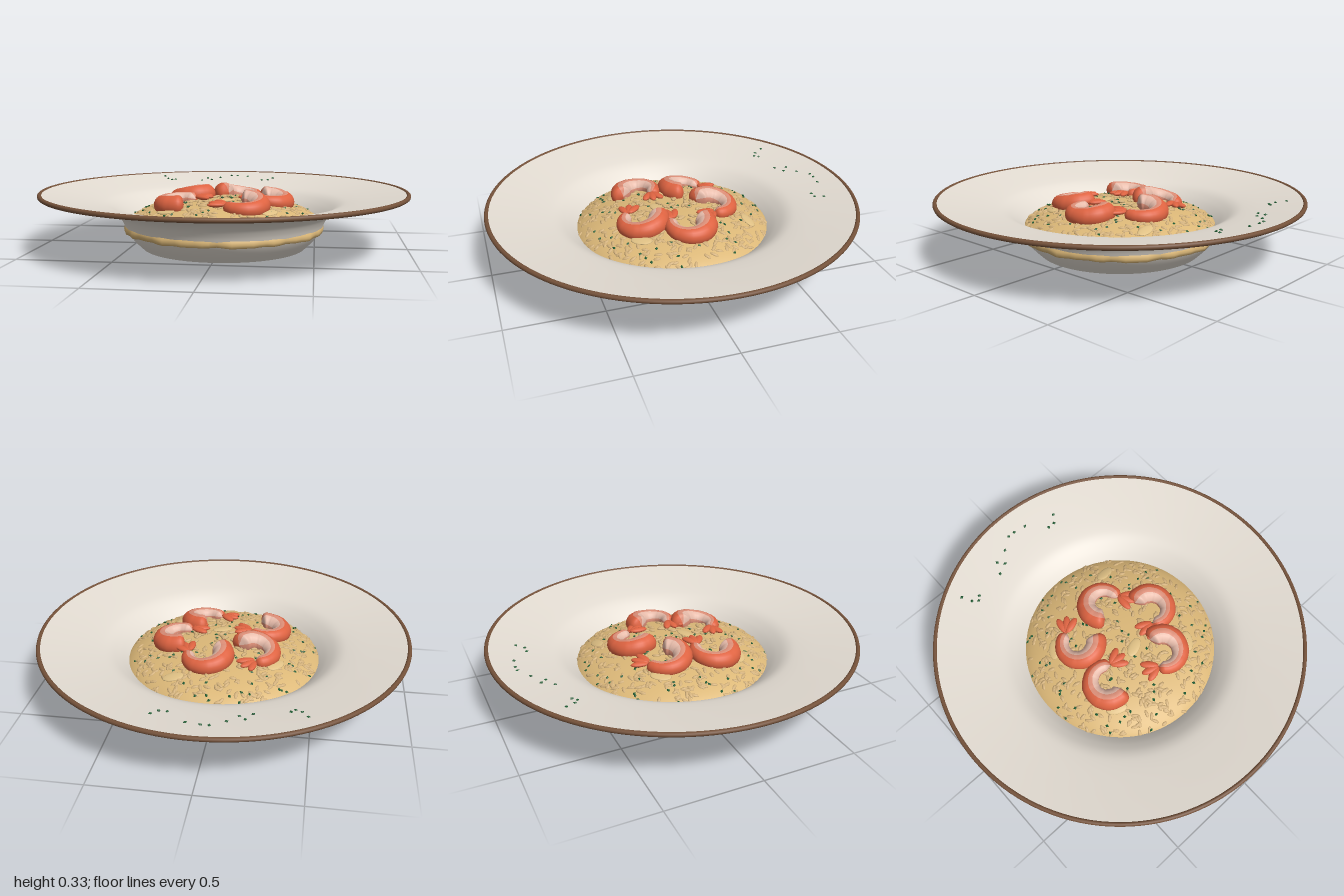
import * as THREE from 'three';
import { mergeGeometries } from 'three/addons/utils/BufferGeometryUtils.js';

const mat = (name, color, extra = {}) => {
  const m = new THREE.MeshStandardMaterial({ color, ...extra });
  m.name = name;
  return m;
};

// Small seeded random generator
let seed = 7;
const rand = () => {
  seed = (seed * 16807) % 2147483647;
  return seed / 2147483647;
};

// Height of the rice mound at a point
const MOUND_R = 0.55, MOUND_Y = 0.1, MOUND_H = 0.16;
const moundY = (x, z) =>
  MOUND_Y + MOUND_H * Math.sqrt(Math.max(0, 1 - (x * x + z * z) / (MOUND_R * MOUND_R)));
const moundNormal = (x, z) => {
  const k = MOUND_R * MOUND_R;
  return new THREE.Vector3(x / k, (moundY(x, z) - MOUND_Y) / (MOUND_H * MOUND_H), z / k).normalize();
};

// Copy of a geometry laid on the mound with a turn, a scale and a lift
function onMound(geo, x, z, yaw, scale, lift) {
  const n = moundNormal(x, z);
  const q = new THREE.Quaternion().setFromUnitVectors(new THREE.Vector3(0, 1, 0), n);
  q.multiply(new THREE.Quaternion().setFromAxisAngle(new THREE.Vector3(0, 1, 0), yaw));
  const p = new THREE.Vector3(x, moundY(x, z), z).addScaledVector(n, lift);
  return geo.clone().applyMatrix4(new THREE.Matrix4().compose(p, q, new THREE.Vector3(...scale)));
}

const lathe = (pts, segs = 96) =>
  new THREE.LatheGeometry(pts.map(([r, y]) => new THREE.Vector2(r, y)), segs);

// Smooth profile through a few points
const smooth = (pts, n) =>
  new THREE.SplineCurve(pts.map(([r, y]) => new THREE.Vector2(r, y))).getPoints(n).map(p => [Math.max(0, p.x), p.y]);

// Curled body with tapered, segmented cross-sections and coloured bands around it
const CURL = 0.093, SPAN = 250 * Math.PI / 180;
function prawnBody(cx, cz, head) {
  const n = 48, m = 24, pos = [], bands = [[], [], []];
  for (let i = 0; i <= n; i++) {
    const t = i / n, a = head + SPAN * (1 - t);
    const x = cx + CURL * Math.cos(a), z = cz + CURL * Math.sin(a);
    const base = 0.032 + 0.023 * Math.min(1, t * 1.35);
    const headEnd = t > 0.92 ? Math.sqrt(Math.max(0, 1 - ((t - 0.92) / 0.08) ** 2)) : 1;
    const tailEnd = t < 0.06 ? Math.sqrt(t / 0.06) : 1;
    const r = base * headEnd * tailEnd * (1 + 0.035 * ((t * 6) % 1));
    const y = moundY(x, z) + base * 0.4;
    for (let j = 0; j < m; j++) {
      const f = j / m * Math.PI * 2, out = r * Math.cos(f);
      pos.push(x + out * Math.cos(a), y + r * Math.sin(f), z + out * Math.sin(a));
    }
  }
  for (let j = 0; j < m; j++) {
    const deg = (j + 0.5) / m * 360;
    const band = deg < 75 || deg > 250 ? 0 : deg > 105 && deg < 165 ? 2 : 1;
    for (let i = 0; i < n; i++) {
      const a = i * m + j, d = i * m + (j + 1) % m, b = a + m, c = d + m;
      bands[band].push(a, b, d, b, c, d);
    }
  }
  const g = new THREE.BufferGeometry();
  g.setAttribute('position', new THREE.Float32BufferAttribute(pos, 3));
  g.setIndex(bands.flat());
  let start = 0;
  bands.forEach((b, k) => { g.addGroup(start, b.length, k); start += b.length; });
  g.computeVertexNormals();
  return g;
}

// Three flat petals at the thin end
function prawnTail(cx, cz, head) {
  const a = head + SPAN, x = cx + CURL * Math.cos(a), z = cz + CURL * Math.sin(a);
  const petal = new THREE.SphereGeometry(1, 12, 8);
  return mergeGeometries([-0.55, 0, 0.55].map(s => {
    const d = a + Math.PI / 4 + s;
    const px = x + 0.05 * Math.cos(d), pz = z + 0.05 * Math.sin(d);
    return petal.clone().scale(0.05, 0.013, 0.021).rotateY(-d)
      .translate(px, moundY(px, pz) + 0.026, pz);
  }));
}

export function createModel() {
  seed = 7;
  const group = new THREE.Group();
  const add = (name, geo, material, parent = group) => {
    const mesh = new THREE.Mesh(geo, material);
    mesh.name = name;
    parent.add(mesh);
    return mesh;
  };
  const china = mat('china', 0xe4ddd3);
  const brown = mat('brown rim', 0x75523a);
  const riceMat = mat('rice', 0xdcb878);
  const grainMat = mat('grain', 0xd2b07a);
  const cheese = mat('cheese', 0xdfc084);
  const coral = mat('coral', 0xde6341);
  const pink = mat('pink', 0xdd8f78);
  const pale = mat('pale flesh', 0xe6bbaa);
  const green = mat('herb green', 0x1f5c33);

  // Bowl: foot, outside and inside
  add('foot', lathe([[0, 0.012], [0.36, 0.012], [0.4, 0.006], [0.45, 0]]), china);
  add('bowlOutside', lathe(smooth([[0.45, 0], [0.5, 0.05], [0.535, 0.1], [0.556, 0.15], [0.582, 0.19],
    [0.625, 0.222], [0.69, 0.243], [0.84, 0.27], [0.988, 0.296]], 40)), china);
  add('bowlInside', lathe(smooth([[0.988, 0.313], [0.85, 0.29], [0.7, 0.263], [0.63, 0.243], [0.575, 0.207],
    [0.53, 0.165], [0.5, 0.13], [0.46, 0.095], [0.4, 0.075], [0, 0.07]], 48)), china);
  add('rim', new THREE.TorusGeometry(0.988, 0.012, 10, 128).rotateX(Math.PI / 2).translate(0, 0.305, 0), brown);

  // Rice mound with a slightly wavy edge
  const profile = [[0, 0.09], [0.3, 0.09], [0.545, 0.092]];
  for (let i = 0; i <= 20; i++) {
    const a = i / 20 * Math.PI / 2;
    profile.push([i === 20 ? 0 : MOUND_R * Math.cos(a), MOUND_Y + 0.008 * Math.cos(a) + MOUND_H * Math.sin(a)]);
  }
  const mound = lathe(profile);
  const p = mound.attributes.position;
  for (let i = 0; i < p.count; i++) {
    const x = p.getX(i), z = p.getZ(i), a = Math.atan2(z, x);
    const edge = Math.min(1, Math.hypot(x, z) / MOUND_R) ** 8;
    const w = Math.sin(a * 9) + Math.sin(a * 17 + 1) + Math.sin(a * 29 + 2);
    const s = 1 - 0.003 * edge * w;
    p.setXYZ(i, x * s, p.getY(i) + 0.0018 * edge * w, z * s);
  }
  mound.computeVertexNormals();
  add('riceMound', mound, riceMat);

  // Scattered grains and herbs
  const scatter = (count, maxR, make) => mergeGeometries(Array.from({ length: count }, () => {
    const r = maxR * Math.sqrt(rand()), a = rand() * Math.PI * 2;
    return make(r * Math.cos(a), r * Math.sin(a));
  }));
  const grain = new THREE.SphereGeometry(1, 8, 6);
  add('riceGrains', scatter(560, 0.515, (x, z) =>
    onMound(grain, x, z, rand() * 6.28, [0.019 + 0.006 * rand(), 0.008, 0.01], 0.004)), grainMat);
  const leaf = new THREE.OctahedronGeometry(1);
  add('herbs', scatter(100, 0.51, (x, z) =>
    onMound(leaf, x, z, rand() * 6.28, [0.011, 0.006, 0.008], 0.01)), green);

  // Cheese shavings: x, z, turn
  const shavings = [[0.21, -0.36, 0.15], [0.27, 0.25, 1.0], [-0.27, 0.27, -0.5],
    [0.02, 0.09, 0.4], [-0.16, 0.04, 1.2], [-0.3, -0.2, 0.9]];
  add('cheeseShavings', mergeGeometries(shavings.map(([x, z, t]) =>
    onMound(new THREE.SphereGeometry(1, 16, 8), x, z, t, [0.058, 0.007, 0.03], 0.008))), cheese);

  // Five prawns: centre x, centre z, angle of the thick end in degrees
  const prawns = [[0.065, -0.21, 125], [0.245, -0.015, -120], [0.125, 0.21, -100],
    [-0.215, 0.14, 70], [-0.185, -0.125, 15]];
  for (const [x, z, deg] of prawns) {
    const prawn = new THREE.Group();
    prawn.name = 'prawn';
    group.add(prawn);
    const head = deg * Math.PI / 180;
    add('prawnBody', prawnBody(x, z, head), [coral, pink, pale], prawn);
    add('prawnTail', prawnTail(x, z, head), coral, prawn);
  }

  // Herb flecks on the back of the rim
  const flecks = [[-0.49, -0.75], [-0.46, -0.7], [-0.41, -0.7], [-0.43, -0.68], [-0.24, -0.73], [-0.21, -0.79],
    [-0.18, -0.76], [-0.13, -0.82], [-0.06, -0.87], [-0.02, -0.87], [0.05, -0.86], [0.15, -0.77],
    [0.19, -0.77], [0.22, -0.81]];
  add('rimHerbs', mergeGeometries(flecks.map(([x, z], i) =>
    leaf.clone().scale(0.011, 0.006, 0.009).rotateY(i)
      .translate(x, 0.29 + (Math.hypot(x, z) - 0.85) * 0.175 + 0.003, z))), green);
  return group;
}
